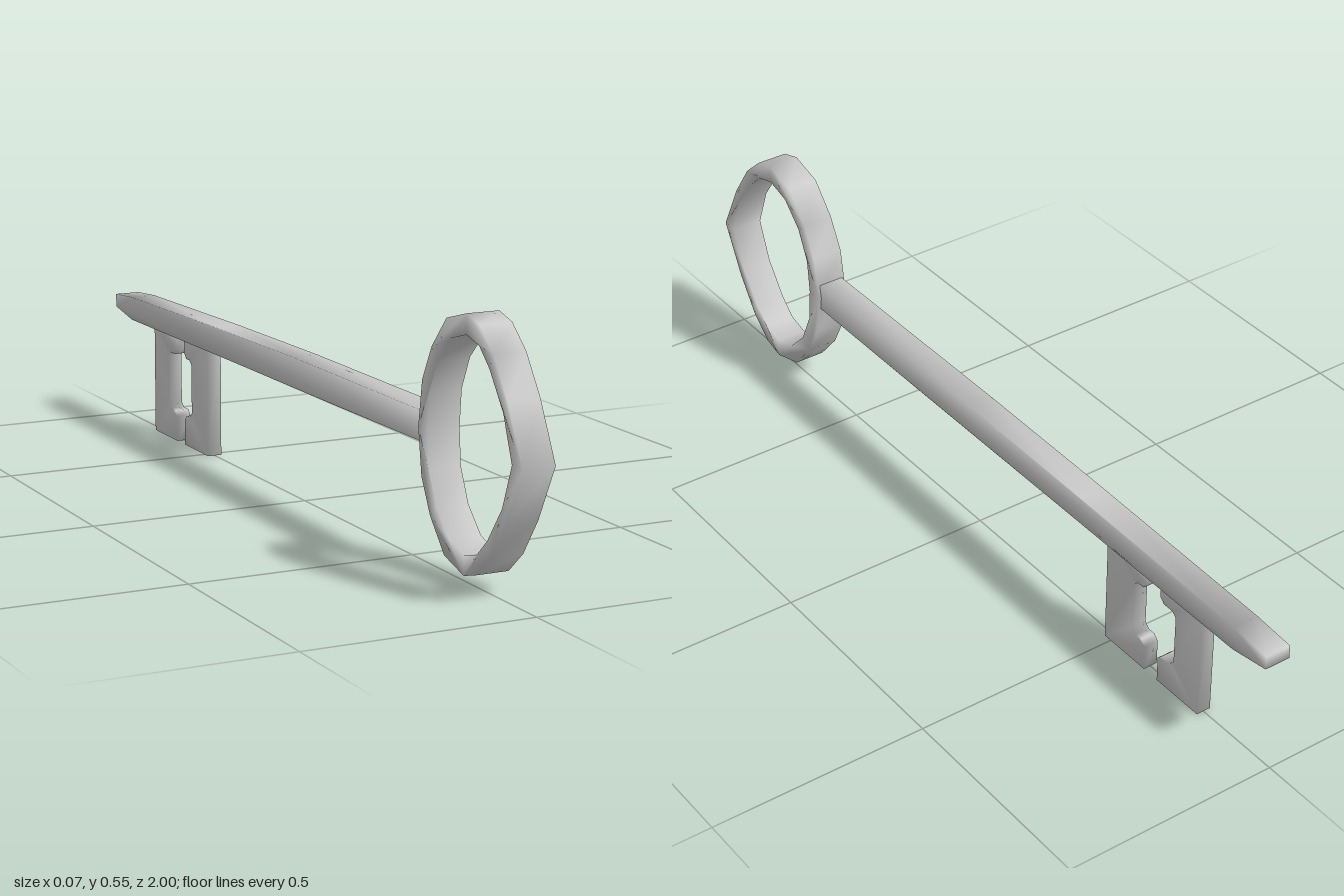
import * as THREE from 'three';
import { mergeVertices } from 'three/addons/utils/BufferGeometryUtils.js';

const MID = 0.291; // height of the shaft and ring axis
const material = new THREE.MeshStandardMaterial({ color: 0xcccccc });
const toPoints = (list) => list.map(([z, y]) => new THREE.Vector2(z, y));

// Side profile in (z, y), extruded across x, with softly blended normals
function plate(name, outline, width, hole) {
  const shape = new THREE.Shape(toPoints(outline));
  if (hole) shape.holes.push(new THREE.Path(toPoints(hole)));
  let geometry = new THREE.ExtrudeGeometry(shape, { depth: width, bevelEnabled: false });
  geometry.translate(0, 0, -width / 2).rotateY(-Math.PI / 2);
  geometry.deleteAttribute('normal');
  geometry.deleteAttribute('uv');
  geometry = mergeVertices(geometry);
  geometry.computeVertexNormals();
  const mesh = new THREE.Mesh(geometry, material);
  mesh.name = name;
  return mesh;
}

// Closes an upper half outline by mirroring it below the axis
function mirrored(half) {
  const lower = half.slice(1, -1).reverse().map(([z, y]) => [z, 2 * MID - y]);
  return [...half, ...lower];
}

export function createModel() {
  const key = new THREE.Group();
  key.name = 'key';

  // Finger ring, pointed at the front
  const outer = mirrored([
    [1, MID], [0.94, 0.41], [0.885, 0.49], [0.83, 0.538], [0.78, 0.552],
    [0.70, 0.53], [0.64, 0.462], [0.603, 0.39], [0.588, MID],
  ]);
  const inner = mirrored([
    [0.96, MID], [0.925, 0.384], [0.87, 0.46], [0.83, 0.497], [0.78, 0.51],
    [0.72, 0.493], [0.667, 0.44], [0.635, 0.37], [0.628, MID],
  ]);
  key.add(plate('ring', outer, 0.072, inner));

  // Square shaft with a tapered tip
  key.add(plate('shaft', [
    [0.6, 0.323], [0.6, 0.26], [0.2, 0.258], [-0.4, 0.257], [-0.9, 0.255],
    [-1, 0.272], [-1, 0.303], [-0.9, 0.311], [-0.4, 0.321], [0, 0.325],
  ], 0.06));

  // Two hooked teeth facing each other: back edge, inner edge and hook end
  const tooth = (name, back, inside, end) => {
    const c = Math.sign(end - back) * 0.012; // corner chamfer
    return plate(name, [
      [back, 0.27], [back, 0], [end, 0], [end, 0.06], [end - c, 0.072],
      [inside + c, 0.072], [inside, 0.084], [inside, 0.2], [inside + c, 0.21],
      [end - c, 0.21], [end, 0.222], [end, 0.27],
    ], 0.034);
  };
  key.add(tooth('innerTooth', -0.48, -0.572, -0.614));
  key.add(tooth('outerTooth', -0.79, -0.708, -0.657));

  return key;
}
